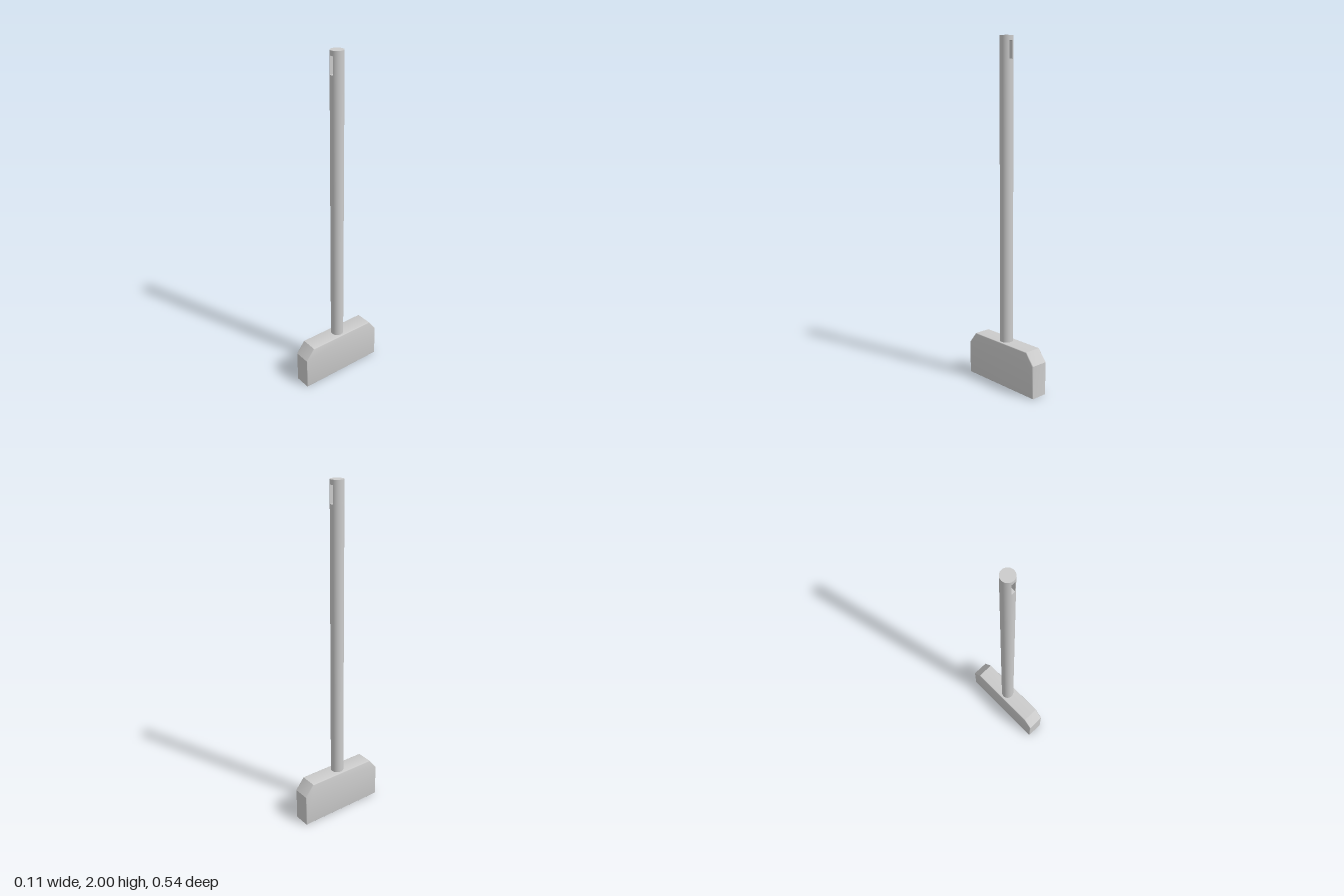
import * as THREE from 'three';
import { mergeGeometries, toCreasedNormals } from 'three/addons/utils/BufferGeometryUtils.js';

const material = new THREE.MeshStandardMaterial({ color: 0xcccccc });

// Block with sloped shoulders and small bevels along its long faces
function makeHead() {
  const halfWidth = 0.0525, bevel = 0.005;
  const profile = new THREE.Shape([
    [-0.27, 0], [0.27, 0], [0.27, 0.193], [0.216, 0.262], [-0.216, 0.262], [-0.27, 0.193],
  ].map(([z, y]) => new THREE.Vector2(z, y)));
  const depth = 2 * (halfWidth - bevel);
  const geometry = new THREE.ExtrudeGeometry(profile, {
    depth, bevelSize: bevel, bevelThickness: bevel, bevelOffset: -bevel, bevelSegments: 3,
  });
  geometry.translate(0, 0, -depth / 2).rotateY(-Math.PI / 2);
  const mesh = new THREE.Mesh(toCreasedNormals(geometry, 0.6), material);
  mesh.name = 'head';
  return mesh;
}

// Round shaft with a slot running front to back near its top
function makeHandle() {
  const r = 0.038, bottom = 0.262, top = 2;
  const slotBottom = 1.875, slotTop = 1.973, slotHalf = 0.012;
  const a = Math.asin(slotHalf / r);

  const wall = (y0, y1, start = 0, sweep = Math.PI * 2, segments = 48) =>
    new THREE.CylinderGeometry(r, r, y1 - y0, segments, 1, true, start, sweep)
      .translate(0, (y0 + y1) / 2, 0);
  const cap = (y, facing) =>
    new THREE.CircleGeometry(r, 48).rotateX(-facing * Math.PI / 2).translate(0, y, 0);

  // Strip that closes the slot above and below
  const strip = new THREE.Shape();
  strip.absarc(0, 0, r, Math.PI / 2 - a, Math.PI / 2 + a);
  strip.absarc(0, 0, r, -Math.PI / 2 - a, -Math.PI / 2 + a);
  const slotEnd = (y, facing) =>
    new THREE.ShapeGeometry(strip, 6).rotateX(-facing * Math.PI / 2).translate(0, y, 0);

  const parts = [
    wall(bottom, slotBottom), wall(slotTop, top),
    cap(bottom, -1), cap(top, 1),
    slotEnd(slotBottom, 1), slotEnd(slotTop, -1),
  ];
  // Outer arc and flat inner wall on each side of the slot
  for (const side of [1, -1]) {
    parts.push(wall(slotBottom, slotTop, side > 0 ? a : Math.PI + a, Math.PI - 2 * a, 24));
    parts.push(new THREE.PlaneGeometry(2 * r * Math.cos(a), slotTop - slotBottom)
      .rotateY(-side * Math.PI / 2)
      .translate(side * slotHalf, (slotBottom + slotTop) / 2, 0));
  }
  const mesh = new THREE.Mesh(mergeGeometries(parts), material);
  mesh.name = 'handle';
  return mesh;
}

export function createModel() {
  const group = new THREE.Group();
  group.name = 'mallet';
  group.add(makeHead(), makeHandle());
  return group;
}
